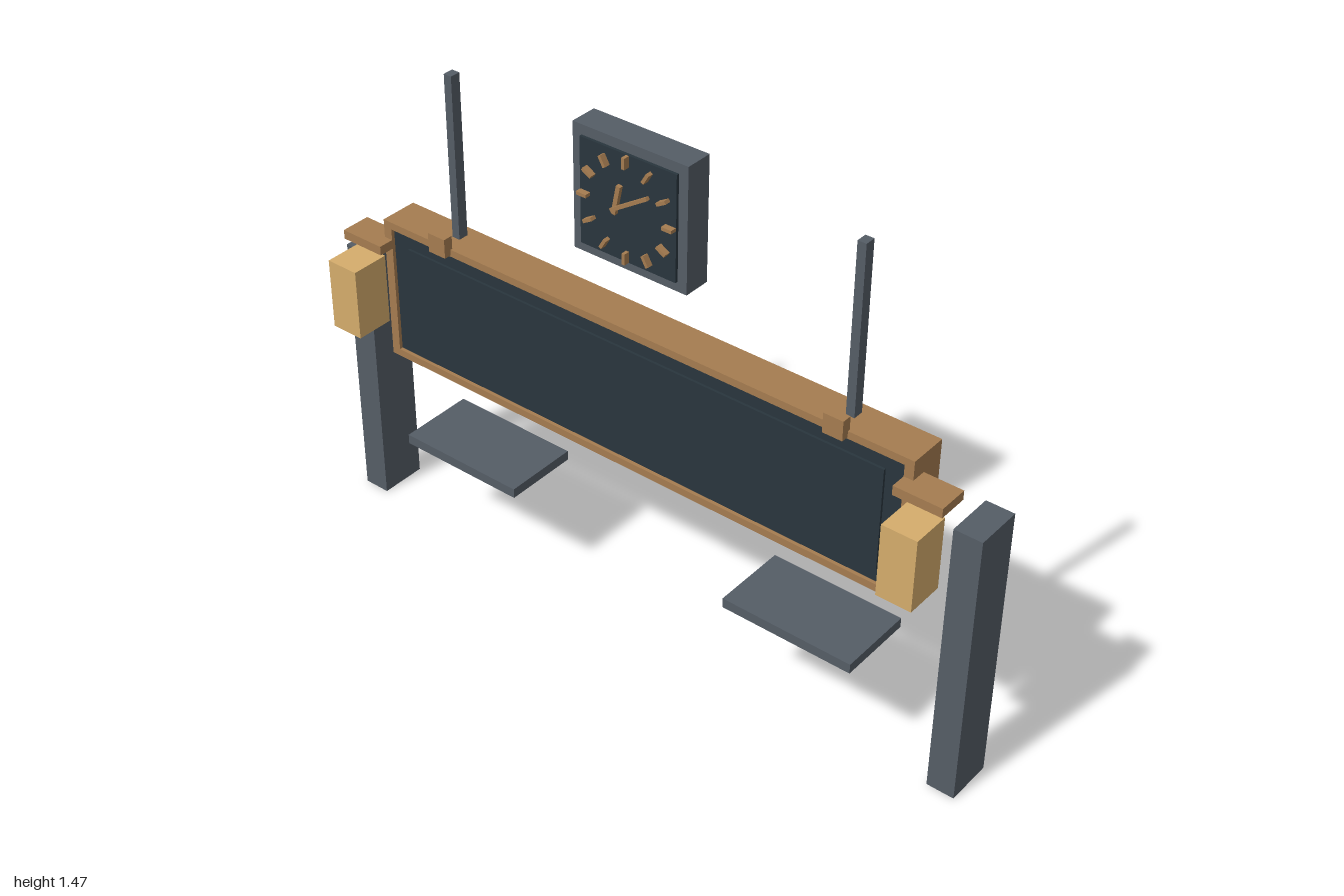
import * as THREE from 'three';

const mat = (color) => new THREE.MeshStandardMaterial({ color });

export function createModel() {
  const root = new THREE.Group();
  const slate = mat(0x555d66), dark = mat(0x29353d), wood = mat(0xa57c50), lamp = mat(0xd5ad6c);

  // Box given by its extents on each axis
  const box = (name, material, [x0, x1], [y0, y1], [z0, z1], parent = root) => {
    const m = new THREE.Mesh(new THREE.BoxGeometry(x1 - x0, y1 - y0, z1 - z0), material);
    m.position.set((x0 + x1) / 2, (y0 + y1) / 2, (z0 + z1) / 2);
    m.name = name;
    parent.add(m);
    return m;
  };
  // The same box on both sides
  const pair = (name, material, [x0, x1], y, z) => {
    box(name + 'Left', material, [x0, x1], y, z);
    box(name + 'Right', material, [-x1, -x0], y, z);
  };

  // Sign frame: a rectangular wooden ring
  const outline = new THREE.Shape([[-0.823, 0.54], [0.823, 0.54], [0.823, 0.957], [-0.823, 0.957]]
    .map(([x, y]) => new THREE.Vector2(x, y)));
  outline.holes.push(new THREE.Path([[-0.797, 0.561], [-0.797, 0.936], [0.797, 0.936], [0.797, 0.561]]
    .map(([x, y]) => new THREE.Vector2(x, y))));
  const frame = new THREE.Mesh(
    new THREE.ExtrudeGeometry(outline, { depth: 0.11, bevelEnabled: false }), wood);
  frame.position.z = -0.088;
  frame.name = 'signFrame';
  root.add(frame);

  // Sign board and the raised panel on its front
  box('signBoard', dark, [-0.797, 0.797], [0.561, 0.936], [-0.08, 0.012]);
  box('signPanel', dark, [-0.743, 0.743], [0.602, 0.894], [0.01, 0.019]);

  // Posts, hanging rods, clips, lantern brackets, lanterns and benches
  pair('post', slate, [0.922, 1], [0, 0.8], [-0.14, -0.004]);
  pair('hangingRod', slate, [0.601, 0.625], [0.95, 1.422], [-0.058, -0.028]);
  pair('rodClip', wood, [0.586, 0.642], [0.94, 0.995], [0.015, 0.043]);
  pair('lanternBracket', wood, [0.797, 0.93], [0.878, 0.904], [-0.02, 0.066]);
  pair('lantern', lamp, [0.82, 0.917], [0.647, 0.851], [0.03, 0.14]);
  pair('bench', slate, [0.346, 0.729], [0.31, 0.338], [-0.14, 0.078]);

  // Clock
  const clock = new THREE.Group();
  clock.name = 'clock';
  clock.position.y = 1.297;
  root.add(clock);
  box('clockCase', slate, [-0.171, 0.171], [-0.171, 0.171], [-0.06, 0.017], clock);
  box('clockFace', dark, [-0.144, 0.144], [-0.144, 0.144], [0.01, 0.025], clock);

  // Hour marks
  for (let i = 0; i < 12; i++) {
    const a = i * Math.PI / 6;
    const mark = box('hourMark', wood, [-0.0045, 0.0045], [-0.015, 0.015], [0.024, 0.042], clock);
    mark.position.x = 0.128 * Math.sin(a);
    mark.position.y = 0.128 * Math.cos(a);
    mark.rotation.z = -a;
  }

  // Hands, each a bar between two points
  const hand = (name, [ax, ay], [bx, by], width, z) => {
    const len = Math.hypot(bx - ax, by - ay);
    const m = box(name, wood, [-len / 2, len / 2], [-width / 2, width / 2], z, clock);
    m.position.x = (ax + bx) / 2;
    m.position.y = (ay + by) / 2;
    m.rotation.z = Math.atan2(by - ay, bx - ax);
  };
  hand('hourHand', [-0.024, -0.01], [-0.008, 0.069], 0.012, [0.039, 0.05]);
  hand('minuteHand', [-0.026, 0.003], [0.082, 0.072], 0.009, [0.047, 0.058]);

  return root;
}
